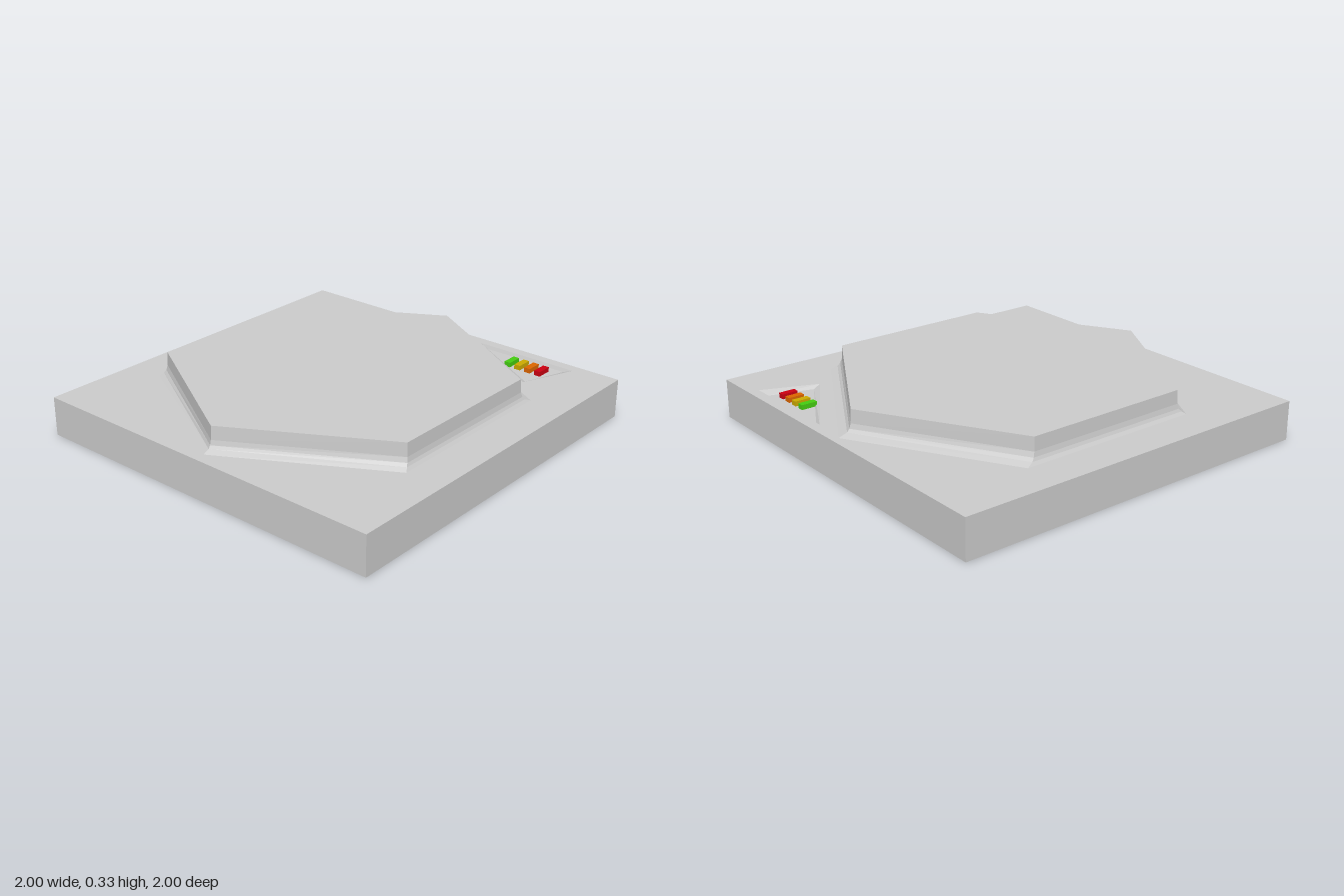
import * as THREE from 'three';

const mat = (color) => new THREE.MeshStandardMaterial({ color, flatShading: true });

// Joins rings of [x, y, z] points (counter-clockwise from above), optionally closing the last ring
function loft(rings, cap) {
  const pos = [];
  const n = rings[0].length;
  for (let r = 0; r < rings.length - 1; r++) {
    for (let i = 0; i < n; i++) {
      const j = (i + 1) % n;
      const a = rings[r][i], b = rings[r][j], c = rings[r + 1][j], d = rings[r + 1][i];
      pos.push(...a, ...b, ...c, ...a, ...c, ...d);
    }
  }
  const last = rings[rings.length - 1];
  if (cap) for (let i = 1; i < n - 1; i++) pos.push(...last[0], ...last[i], ...last[i + 1]);
  const geo = new THREE.BufferGeometry();
  geo.setAttribute('position', new THREE.Float32BufferAttribute(pos, 3));
  geo.computeVertexNormals();
  return geo;
}

export function createModel() {
  const group = new THREE.Group();
  const grey = mat(0xcccccc);
  const add = (name, geo, material = grey) => {
    const mesh = new THREE.Mesh(geo, material);
    mesh.name = name;
    group.add(mesh);
    return mesh;
  };

  const top = 0.205, floor = 0.187;

  // Square base, whose top is the floor of the recess
  add('baseBody', new THREE.BoxGeometry(2, floor, 2)).position.y = floor / 2;

  // Top layer of the base with a triangular opening
  const rim = [[0.65, -0.66], [0.765, -0.945], [0.19, -0.945]];
  const inner = [[0.645, -0.7], [0.715, -0.937], [0.235, -0.937]];
  const square = new THREE.Shape([[-1, -1], [1, -1], [1, 1], [-1, 1]].map(([x, y]) => new THREE.Vector2(x, y)));
  square.holes.push(new THREE.Path(rim.map(([x, z]) => new THREE.Vector2(x, -z))));
  const slab = new THREE.ExtrudeGeometry(square, { depth: top - floor, bevelEnabled: false });
  slab.rotateX(-Math.PI / 2);
  add('baseTop', slab).position.y = floor;

  // Sloping walls of the recess
  add('recessWalls', loft([
    rim.map(([x, z]) => [x, top, z]),
    inner.map(([x, z]) => [x, floor, z]),
  ], false));

  // Hexagonal platform with a coved foot: y, half width, back corner, back tip, front corner, front tip
  const levels = [
    [0.204, 0.8, 0.505, 0.965, 0.485, 0.945],
    [0.22, 0.787, 0.468, 0.915, 0.464, 0.91],
    [0.235, 0.78, 0.455, 0.902, 0.453, 0.9],
    [0.26, 0.775, 0.447, 0.894, 0.447, 0.894],
    [0.33, 0.772, 0.445, 0.89, 0.445, 0.89],
  ];
  add('hexPlatform', loft(levels.map(([y, w, bc, bt, fc, ft]) => [
    [w, y, -bc], [0, y, -bt], [-w, y, -bc], [-w, y, fc], [0, y, ft], [w, y, fc],
  ]), true));

  // Row of indicator lights in the recess
  [0x44cc11, 0xccaa00, 0xdd6600, 0xcc0011].forEach((color, i) => {
    const light = add('indicatorLight' + (i + 1), new THREE.BoxGeometry(0.034, 0.028, 0.085), mat(color));
    light.position.set(0.455 + i * 0.061, 0.198, -0.85);
  });

  return group;
}
